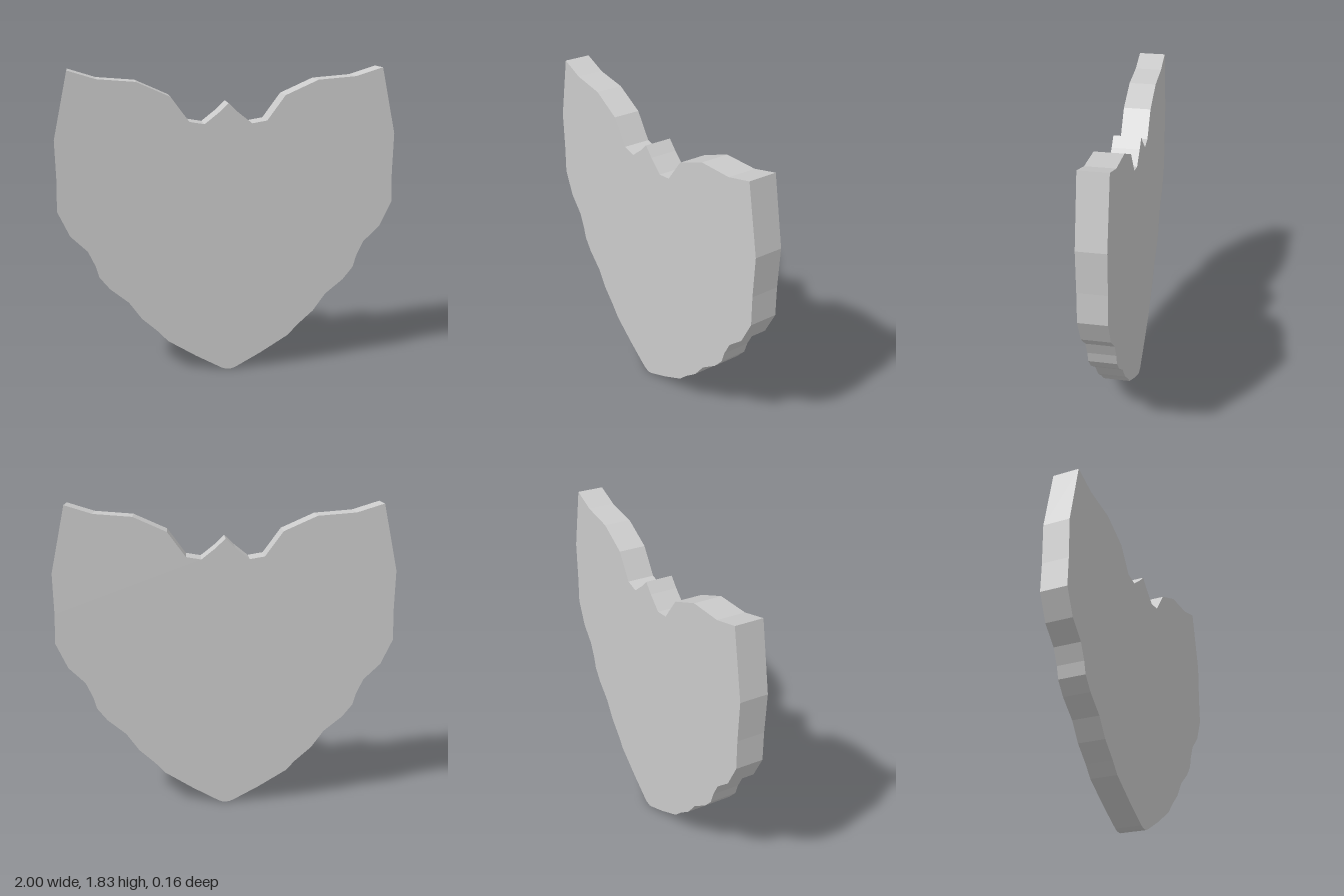
import * as THREE from 'three';

// Half outline of the shield, from the bottom tip up to the top notch
const HALF = [
  [0.02, 0], [0.045, 0.01], [0.2, 0.095], [0.37, 0.2], [0.43, 0.265], [0.525, 0.35],
  [0.6, 0.455], [0.71, 0.545], [0.77, 0.62], [0.79, 0.69], [0.832, 0.78],
  [0.93, 0.875], [1, 1.025], [0.995, 1.2], [1, 1.44], [0.915, 1.83],
  [0.755, 1.78], [0.53, 1.762], [0.335, 1.675], [0.228, 1.53], [0.14, 1.515],
  [0.055, 1.582],
];
const THICKNESS = 0.16;

export function createModel() {
  const group = new THREE.Group();
  group.name = 'shield';

  // Mirror the half outline around the centre peak
  const mirrored = HALF.map(([x, y]) => [-x, y]).reverse();
  const outline = [...HALF, [0, 1.635], ...mirrored];
  const shape = new THREE.Shape(outline.map(([x, y]) => new THREE.Vector2(x, y)));

  // Flat plate with straight, faceted edges
  const geometry = new THREE.ExtrudeGeometry(shape, { depth: THICKNESS, bevelEnabled: false });
  geometry.translate(0, 0, -THICKNESS / 2);

  const plate = new THREE.Mesh(
    geometry,
    new THREE.MeshStandardMaterial({ color: 0xcccccc, flatShading: true }),
  );
  plate.name = 'shieldPlate';
  group.add(plate);
  return group;
}
